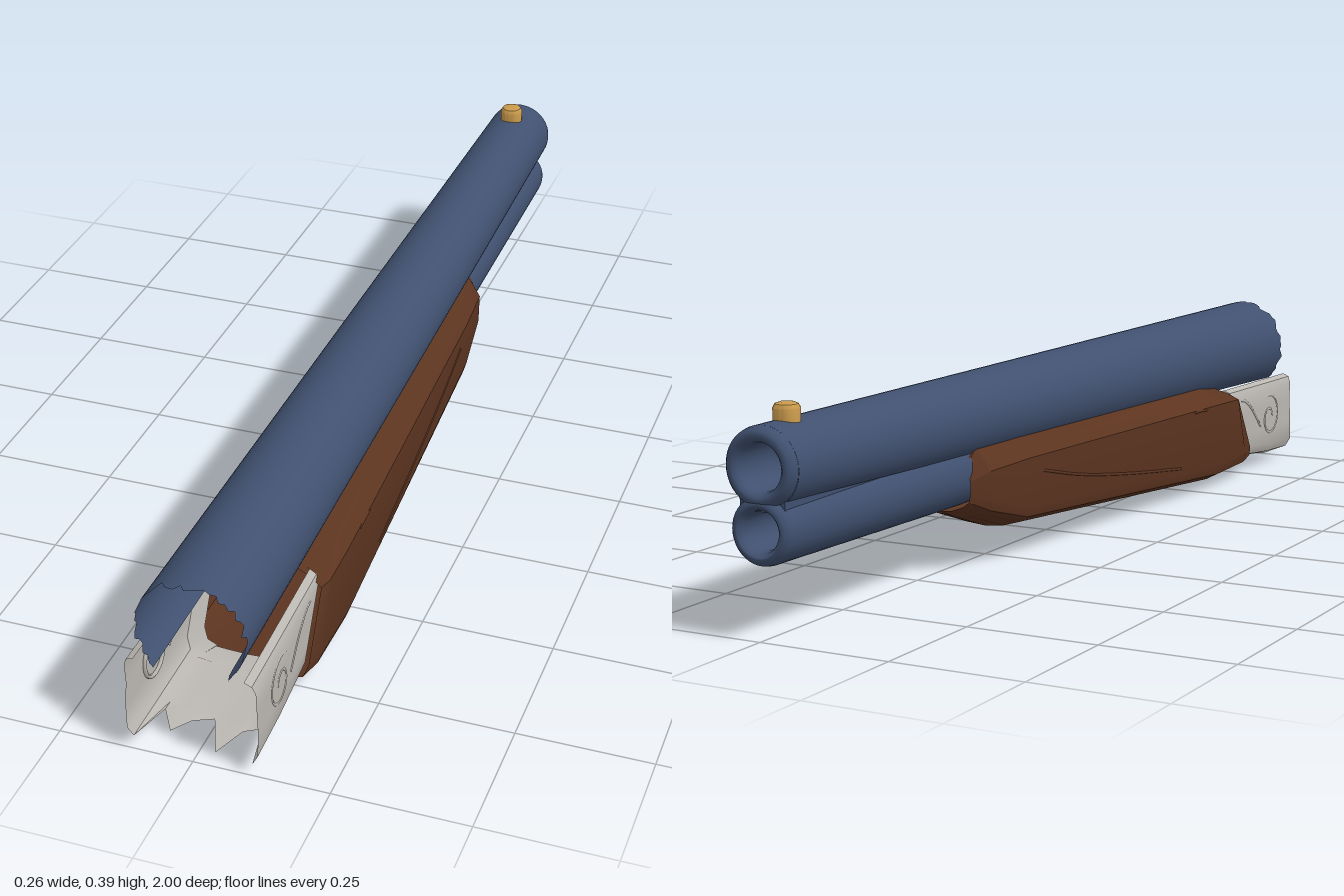
import * as THREE from 'three';
import { toCreasedNormals } from 'three/addons/utils/BufferGeometryUtils.js';

const material = (name, color) => {
  const m = new THREE.MeshStandardMaterial({ color, side: THREE.DoubleSide });
  m.name = name;
  return m;
};

// Skin a list of equal-length cross-sections
function loft(rows, crease) {
  const n = rows[0].length, index = [];
  for (let r = 0; r < rows.length - 1; r++) {
    for (let i = 0; i < n - 1; i++) {
      const a = r * n + i, b = a + n;
      index.push(a, a + 1, b, a + 1, b + 1, b);
    }
  }
  const g = new THREE.BufferGeometry();
  g.setAttribute('position', new THREE.Float32BufferAttribute(rows.flat(2), 3));
  g.setIndex(index);
  g.computeVertexNormals();
  return crease ? toCreasedNormals(g, crease) : g;
}

// Mirror a half section that ends on the centre line
const mirror = half => [...half, ...half.slice(0, -1).reverse().map(([x, y, z]) => [-x, y, z])];

// Repeatable broken-edge offset, 0..1
const jag = i => { const s = Math.sin(i * 12.9898) * 43758.5453; return s - Math.floor(s); };

export function createModel() {
  const group = new THREE.Group();
  const blued = material('blued steel', 0x40506f);
  const wood = material('walnut wood', 0x5c3420);
  const silver = material('silver metal', 0xbab6b1);
  const brass = material('brass', 0xc99a4c);
  const add = (name, geometry, mat) => {
    const mesh = new THREE.Mesh(geometry, mat);
    mesh.name = name;
    group.add(mesh);
    return mesh;
  };

  // Upper barrel: tapering shell, open underneath, broken at the rear
  const gap = 0.7, steps = 48, rows = [];
  for (const z of [-0.98, -0.4, 0.2, 0.7, 0.96, 1]) {
    const r = 0.07 + 0.03 * (z + 1) / 2, row = [];
    for (let i = 0; i <= steps; i++) {
      const a = gap + (Math.PI * 2 - 2 * gap) * i / steps;
      const end = z === 1 && i !== steps / 2 ? 0.025 * jag(i + 1) : 0;
      row.push([Math.sin(a) * r, 0.365 - r - Math.cos(a) * r, z - end]);
    }
    rows.push(row);
  }
  add('upperBarrel', loft(rows), blued);

  // Rounded muzzle lips with a bore closed by a cone
  const lathe = (points, y) => {
    const g = new THREE.LatheGeometry(points.map(p => new THREE.Vector2(...p)), 40);
    return g.rotateX(-Math.PI / 2).translate(0, y, 0);
  };
  const lip = (R, b) => [[R, 0.98], [R - 0.002, 0.99], [R - 0.008, 0.997], [R - 0.014, 1],
    [b + 0.009, 0.998], [b + 0.003, 0.992], [b, 0.98], [b, 0.9], [0, 0.86]];
  add('upperMuzzle', lathe(lip(0.07, 0.041), 0.295), blued);
  add('lowerBarrel', lathe([[0.067, 0.25], [0.066, 0.45], ...lip(0.06, 0.034)], 0.188), blued);

  // Rib filling the waist between the barrels
  const rib = add('barrelRib', new THREE.BoxGeometry(0.09, 0.03, 0.7), blued);
  rib.position.set(0, 0.235, -0.635);

  // Front bead sight
  const bead = [[0, 0.355], [0.024, 0.355], [0.024, 0.384], [0.02, 0.391], [0.012, 0.394], [0, 0.395]];
  const sight = add('beadSight', toCreasedNormals(
    new THREE.LatheGeometry(bead.map(p => new THREE.Vector2(...p)), 16), 0.6), brass);
  sight.position.z = -0.91;

  // Wooden forearm: [z top, z bottom, width, inner x, top, shoulder, lower corner, bottom]
  const stations = [
    [0.675, 0.775, 0.122, 0.07, 0.205, 0.182, 0.042, 0.032],
    [0.66, 0.72, 0.131, 0.071, 0.207, 0.186, 0.036, 0.024],
    [0.57, 0.57, 0.131, 0.076, 0.22, 0.189, 0.032, 0.003],
    [-0.25, -0.25, 0.101, 0.062, 0.236, 0.2, 0.085, 0.059],
    [-0.385, -0.37, 0.089, 0.058, 0.238, 0.195, 0.118, 0.1],
    [-0.42, -0.42, 0.068, 0.055, 0.215, 0.18, 0.14, 0.118],
  ];
  const sections = stations.map(([zt, zb, w, inner, yt, ys, yc, yb]) => mirror([
    [inner, yt], [w * 0.84, ys + 0.5 * (yt - ys)], [w, ys], [w, yc + 0.02], [w * 0.94, yc],
    [w * 0.75, yc + (yb - yc) * 0.45], [w * 0.4, yc + (yb - yc) * 0.85], [0, yb],
  ].map(([x, y]) => [x, y, zb + (zt - zb) * (y - yb) / (yt - yb)])));
  add('forearm', loft(sections, 0.45), wood);

  // Receiver: U-shaped sheet, broken at the rear, flanged inside the wood
  const uShape = (w, top, bottom, zAt) => mirror([
    [w - 0.02, top], [w - 0.006, top - 0.006], [w, top - 0.02], [w, 0.14], [w, 0.09],
    [w, bottom + 0.028], [w - 0.01, bottom + 0.01], [w - 0.03, bottom + 0.004],
    [0.06, bottom + 0.002], [0.035, bottom + 0.001], [0, bottom],
  ].map(([x, y], i) => [x, y, zAt(y, i)]));
  const slant = z => y => z + 0.1 * (0.2 - y) / 0.17;
  const rear = uShape(0.12, 0.2, 0.018, () => 1);
  rear.forEach((p, i) => {
    if (p[1] < 0.023) p[2] -= 0.1 * jag(i + 3);
    else if (i % 5 > 1) p[2] -= 0.012 * jag(i + 5);
  });
  add('receiver', loft([
    rear,
    uShape(0.118, 0.201, 0.022, () => 0.89),
    uShape(0.113, 0.203, 0.033, slant(0.67)),
    uShape(0.088, 0.2, 0.046, slant(0.655)),
  ], 0.6), silver);

  // Scroll relief on the receiver and carved lines on the wood, both sides
  const tube = (points, r) => new THREE.TubeGeometry(
    new THREE.CatmullRomCurve3(points.map(p => new THREE.Vector3(...p))), 40, r, 6);
  const wallX = z => 0.113 + 0.007 * (z - 0.7) / 0.3;
  const woodX = z => 0.101 + 0.03 * (z + 0.25) / 0.82;
  for (const s of [1, -1]) {
    const scroll = [], sweep = [];
    for (let i = 0; i <= 20; i++) {
      const a = i * 0.42, r = 0.012 + 0.0021 * i;
      const z = 0.88 + Math.cos(a) * r;
      scroll.push([s * (wallX(z) - 0.002), 0.115 + Math.sin(a) * r, z]);
    }
    for (let i = 0; i <= 6; i++) {
      const z = 0.83 - 0.018 * i;
      sweep.push([s * (wallX(z) - 0.002), 0.1 + 0.075 * Math.sin(i / 4), z]);
    }
    add('scrollRelief', tube(scroll, 0.004), silver);
    add('scrollSweep', tube(sweep, 0.004), silver);
    const line = [[0.38, 0.076], [0.15, 0.104], [-0.05, 0.135], [-0.2, 0.168]];
    add('carvedLine', tube(line.map(([z, y]) => [s * (woodX(z) - 0.001), y, z]), 0.003), wood);
    const notch = [[0.5, 0.186], [0.47, 0.188], [0.44, 0.187]];
    add('carvedNotch', tube(notch.map(([z, y]) => [s * (woodX(z) - 0.001), y, z]), 0.003), wood);
  }
  return group;
}
